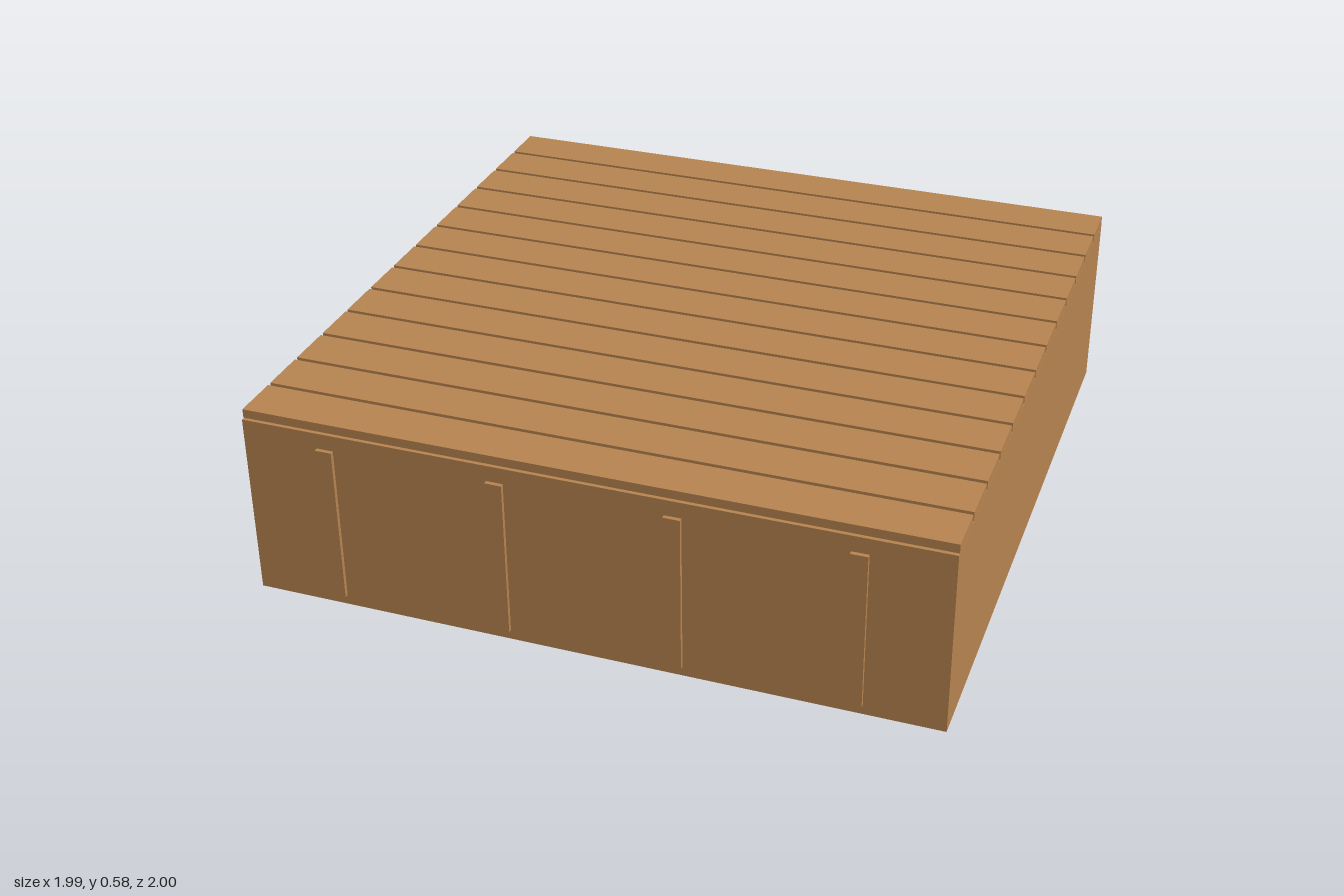
import * as THREE from 'three';

export function createModel() {
  const model = new THREE.Group();
  model.name = 'plankDeck';

  const wood = new THREE.MeshStandardMaterial({ color: 0xb5824f });
  wood.name = 'wood';
  const darkWood = new THREE.MeshStandardMaterial({ color: 0x70502f });
  darkWood.name = 'darkWood';

  // Box given by its minimum and maximum corners
  function box(name, material, [x0, y0, z0], [x1, y1, z1]) {
    const mesh = new THREE.Mesh(new THREE.BoxGeometry(x1 - x0, y1 - y0, z1 - z0), material);
    mesh.position.set((x0 + x1) / 2, (y0 + y1) / 2, (z0 + z1) / 2);
    mesh.name = name;
    model.add(mesh);
  }

  const halfWidth = 0.995;
  const wallTop = 0.549;
  const wall = 0.025;
  const inner = halfWidth - wall;

  // Front and side walls; the back is open
  box('frontWall', wood, [-halfWidth, 0, 0.963], [halfWidth, wallTop, 0.988]);
  box('leftWall', wood, [inner, 0, -1], [halfWidth, wallTop, 0.963]);
  box('rightWall', wood, [-halfWidth, 0, -1], [-inner, wallTop, 0.963]);

  // Dark sheet under the planks
  box('underlay', darkWood, [-inner, 0.535, -0.995], [inner, wallTop, 0.963]);

  // Deck planks with narrow gaps
  const pitch = 0.1529;
  for (let i = 0; i < 13; i++) {
    const z = -0.995 + i * pitch;
    box(`plank${i + 1}`, wood, [-halfWidth, 0.551, z], [halfWidth, 0.577, z + 0.14]);
  }

  // Upright battens on the front wall
  [-0.748, -0.25, 0.248, 0.746].forEach((x, i) => {
    box(`batten${i + 1}`, wood, [x - 0.024, 0.03, 0.988], [x + 0.024, 0.502, 1]);
  });

  return model;
}
